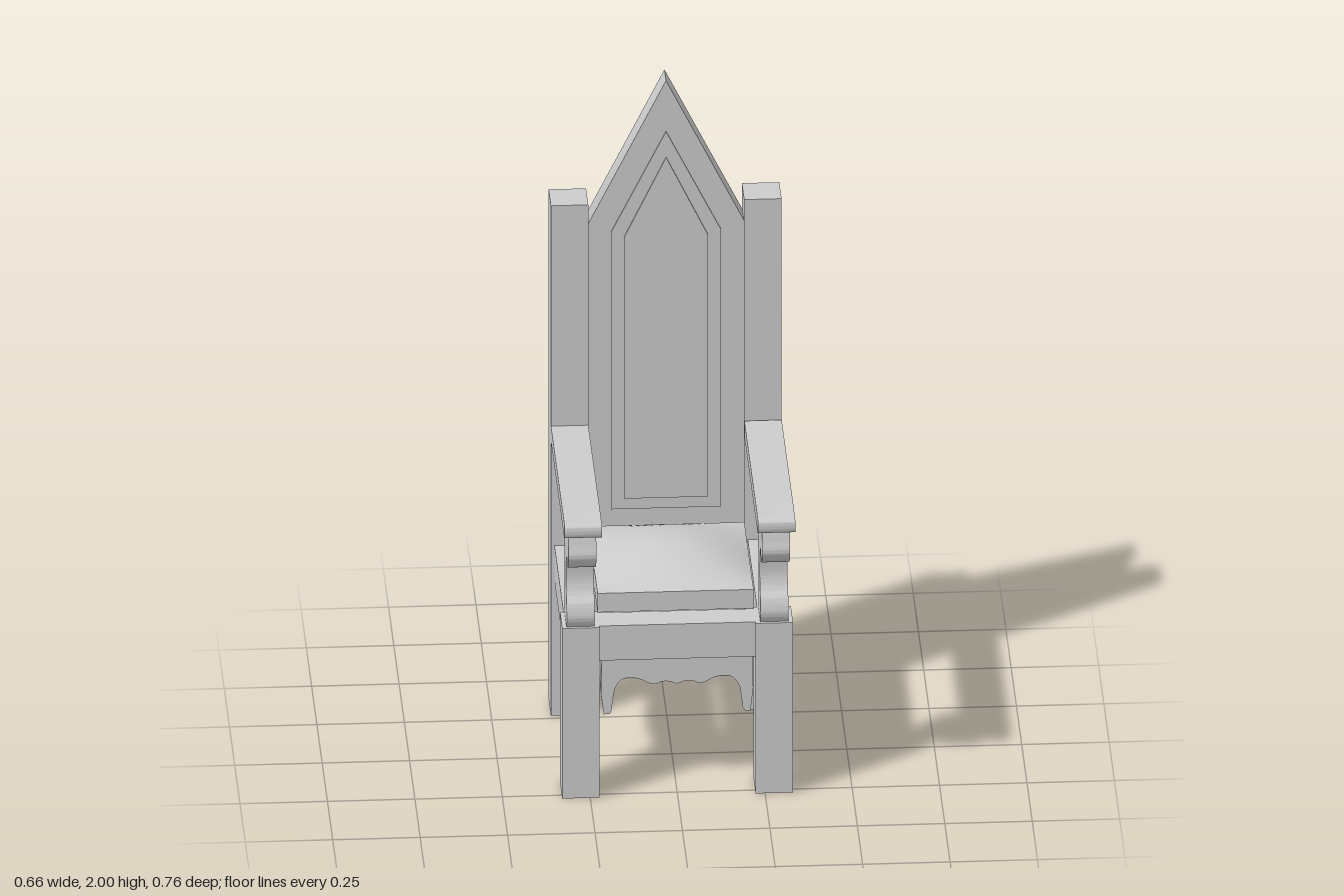
import * as THREE from 'three';
import { toCreasedNormals } from 'three/addons/utils/BufferGeometryUtils.js';

const material = new THREE.MeshStandardMaterial({ color: 0xcccccc });

export function createModel() {
  const chair = new THREE.Group();
  chair.name = 'highBackChair';

  const add = (name, geometry) => {
    const mesh = new THREE.Mesh(geometry, material);
    mesh.name = name;
    chair.add(mesh);
    return mesh;
  };

  // Box given by its extents on each axis
  const box = (name, x0, x1, y0, y1, z0, z1) =>
    add(name, new THREE.BoxGeometry(x1 - x0, y1 - y0, z1 - z0))
      .position.set((x0 + x1) / 2, (y0 + y1) / 2, (z0 + z1) / 2);

  // Extrusion centred on its own thickness
  const slab = (shape, depth) => toCreasedNormals(
    new THREE.ExtrudeGeometry(shape, { depth, bevelEnabled: false, curveSegments: 8 })
      .translate(0, 0, -depth / 2), 0.6);

  const points = (list) => list.map(([x, y]) => new THREE.Vector2(x, y));

  // Pointed panel outline: straight sides up to a shoulder, then a peak
  const gable = (w, bottom, shoulder, peak) => new THREE.Shape(points([
    [-w, bottom], [w, bottom], [w, shoulder], [0, peak], [-w, shoulder]]));

  // Back panel with two stepped raised fields
  const panel = (name, shape, z0, z1) => add(name, slab(shape, z1 - z0)).position.z = (z0 + z1) / 2;
  panel('backPanel', gable(0.223, 0.54, 1.55, 2), -0.356, -0.283);
  panel('outerRaisedField', gable(0.157, 0.645, 1.525, 1.84), -0.3, -0.279);
  panel('innerRaisedField', gable(0.12, 0.68, 1.51, 1.76), -0.3, -0.274);

  // Scalloped apron: a foot at each end, a cove and a wavy lower edge
  const apronShape = new THREE.Shape();
  const half = [[0.188, 0.26], [0.183, 0.3], [0.176, 0.335], [0.155, 0.36], [0.125, 0.363],
    [0.1, 0.356], [0.08, 0.345], [0.062, 0.342], [0.045, 0.349], [0.022, 0.349]];
  const edge = [...half, [0, 0.342], ...half.map(([x, y]) => [-x, y]).reverse()];
  apronShape.moveTo(-0.215, 0.435);
  apronShape.lineTo(-0.218, 0.32);
  apronShape.lineTo(-0.21, 0.25);
  apronShape.lineTo(-0.195, 0.25);
  apronShape.splineThru(points([...edge].reverse()));
  apronShape.lineTo(0.195, 0.25);
  apronShape.lineTo(0.21, 0.25);
  apronShape.lineTo(0.218, 0.32);
  apronShape.lineTo(0.215, 0.435);
  const apronGeometry = slab(apronShape, 0.05);
  const apron = (name, x, z, turn) => {
    const mesh = add(name, apronGeometry);
    mesh.position.set(x, 0, z);
    mesh.rotation.y = turn;
  };

  // Front and back rails with their aprons
  box('frontRail', -0.223, 0.223, 0.43, 0.54, 0.175, 0.262);
  box('backRail', -0.223, 0.223, 0.43, 0.54, -0.373, -0.286);
  apron('frontApron', 0, 0.218, 0);
  apron('backApron', 0, -0.33, 0);

  // Curved arm support, drawn as (z, y)
  const supportShape = new THREE.Shape();
  supportShape.moveTo(0.175, 0.54);
  supportShape.splineThru(points([[0.173, 0.6], [0.172, 0.66], [0.162, 0.73],
    [0.157, 0.79], [0.168, 0.84], [0.185, 0.876]]));
  supportShape.lineTo(0.335, 0.876);
  supportShape.splineThru(points([[0.345, 0.835], [0.352, 0.8], [0.33, 0.765], [0.3, 0.752], [0.257, 0.772]]));
  supportShape.splineThru(points([[0.237, 0.735], [0.232, 0.68], [0.243, 0.64],
    [0.264, 0.608], [0.273, 0.57], [0.262, 0.54]]));
  const supportGeometry = slab(supportShape, 0.08).rotateY(-Math.PI / 2);

  // Armrest with rounded front edges, drawn as (z, y)
  const armShape = new THREE.Shape();
  armShape.moveTo(-0.268, 0.874);
  armShape.lineTo(0.365, 0.874);
  armShape.quadraticCurveTo(0.38, 0.874, 0.38, 0.897);
  armShape.quadraticCurveTo(0.38, 0.92, 0.365, 0.92);
  armShape.lineTo(-0.268, 0.92);
  const armGeometry = slab(armShape, 0.107).rotateY(-Math.PI / 2);

  // Everything that repeats on both sides
  for (const [side, s, postZ] of [['left', 1, -0.381], ['right', -1, -0.374]]) {
    const sideBox = (name, inner, outer, ...rest) =>
      box(side + name, Math.min(s * inner, s * outer), Math.max(s * inner, s * outer), ...rest);
    sideBox('BackPost', 0.223, 0.33, 0, 1.62, postZ, postZ + 0.107);
    sideBox('FrontLeg', 0.223, 0.33, 0, 0.54, 0.166, 0.272);
    sideBox('SideRail', 0.233, 0.32, 0.43, 0.54, -0.28, 0.17);
    apron(side + 'Apron', s * 0.277, -0.053, Math.PI / 2);
    add(side + 'ArmSupport', supportGeometry).position.x = s * 0.277;
    add(side + 'Armrest', armGeometry).position.x = s * 0.2765;
  }

  // Cushion: a box whose top swells into a soft dome
  const cushion = new THREE.BoxGeometry(0.446, 0.06, 0.438, 24, 1, 24);
  const p = cushion.attributes.position;
  for (let i = 0; i < p.count; i++) {
    if (p.getY(i) < 0) continue;
    const u = p.getX(i) / 0.223, v = p.getZ(i) / 0.219;
    p.setY(i, 0.03 + 0.06 * Math.max(0, (1 - u * u) * (1 - v * v)));
  }
  add('seatCushion', toCreasedNormals(cushion, 0.6)).position.set(0, 0.57, -0.046);

  return chair;
}
